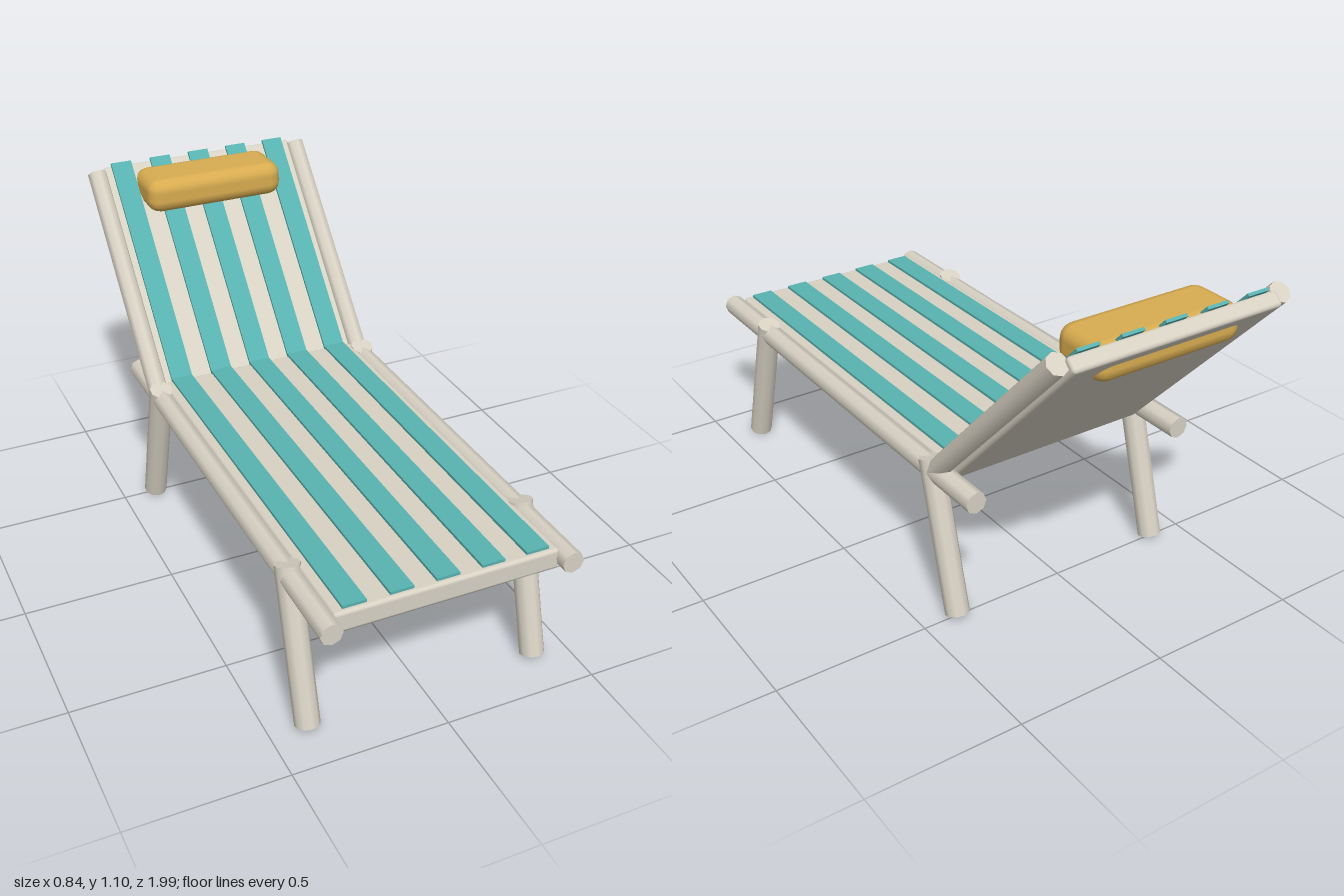
import * as THREE from 'three';
import { RoundedBoxGeometry } from 'three/addons/geometries/RoundedBoxGeometry.js';

export function createModel() {
  const cream = new THREE.MeshStandardMaterial({ color: 0xd8d2c4 });
  cream.name = 'cream';
  const teal = new THREE.MeshStandardMaterial({ color: 0x58b2b0 });
  teal.name = 'teal';
  const mustard = new THREE.MeshStandardMaterial({ color: 0xd8ac50 });
  mustard.name = 'mustard';

  const model = new THREE.Group();
  model.name = 'sunLounger';

  const add = (parent, name, geometry, material, x, y, z) => {
    const mesh = new THREE.Mesh(geometry, material);
    mesh.name = name;
    mesh.position.set(x, y, z);
    parent.add(mesh);
    return mesh;
  };

  // Round bar between two (y, z) points at a given x
  const bar = (parent, name, x, [y0, z0], [y1, z1], radius, sides) => {
    const dir = new THREE.Vector3(0, y1 - y0, z1 - z0);
    const geometry = new THREE.CylinderGeometry(radius, radius, dir.length(), sides);
    const mesh = add(parent, name, geometry, cream, x, (y0 + y1) / 2, (z0 + z1) / 2);
    mesh.quaternion.setFromUnitVectors(new THREE.Vector3(0, 1, 0), dir.normalize());
  };

  // Backrest, hinged on the rails: local y runs up it, local z is its normal
  const backrest = new THREE.Group();
  backrest.name = 'backrest';
  backrest.position.set(0, 0.465, -0.38);
  backrest.rotation.x = -THREE.MathUtils.degToRad(43);
  model.add(backrest);

  // Rails, legs and backrest poles on both sides
  for (const [side, s] of [['left', 1], ['right', -1]]) {
    bar(model, side + 'Rail', s * 0.381, [0.464, -0.6], [0.464, 1], 0.035, 8);
    bar(model, side + 'FrontLeg', s * 0.382, [0.012, 0.845], [0.5, 0.706], 0.039, 10);
    bar(model, side + 'BackLeg', s * 0.382, [0.012, -0.5], [0.5, -0.36], 0.039, 10);
    bar(backrest, side + 'BackPole', s * 0.381, [0, -0.004], [0.833, -0.008], 0.034, 8);
  }

  // Fabric panels
  add(model, 'seatPanel', new RoundedBoxGeometry(0.715, 0.07, 1.375, 2, 0.012), cream, 0, 0.462, 0.2775);
  add(backrest, 'backPanel', new RoundedBoxGeometry(0.715, 0.85, 0.05, 2, 0.012), cream, 0, 0.426, -0.025);

  // Painted stripes
  for (let i = -2; i <= 2; i++) {
    const x = i * 0.145;
    add(model, 'seatStripe', new THREE.BoxGeometry(0.074, 0.0095, 1.365), teal, x, 0.5015, 0.2675);
    add(backrest, 'backStripe', new THREE.BoxGeometry(0.074, 0.82, 0.0095), teal, x, 0.447, 0.0045);
  }

  // Level head pillow
  add(model, 'pillow', new RoundedBoxGeometry(0.5, 0.12, 0.2, 2, 0.045), mustard, 0, 1.015, -0.862);

  return model;
}
